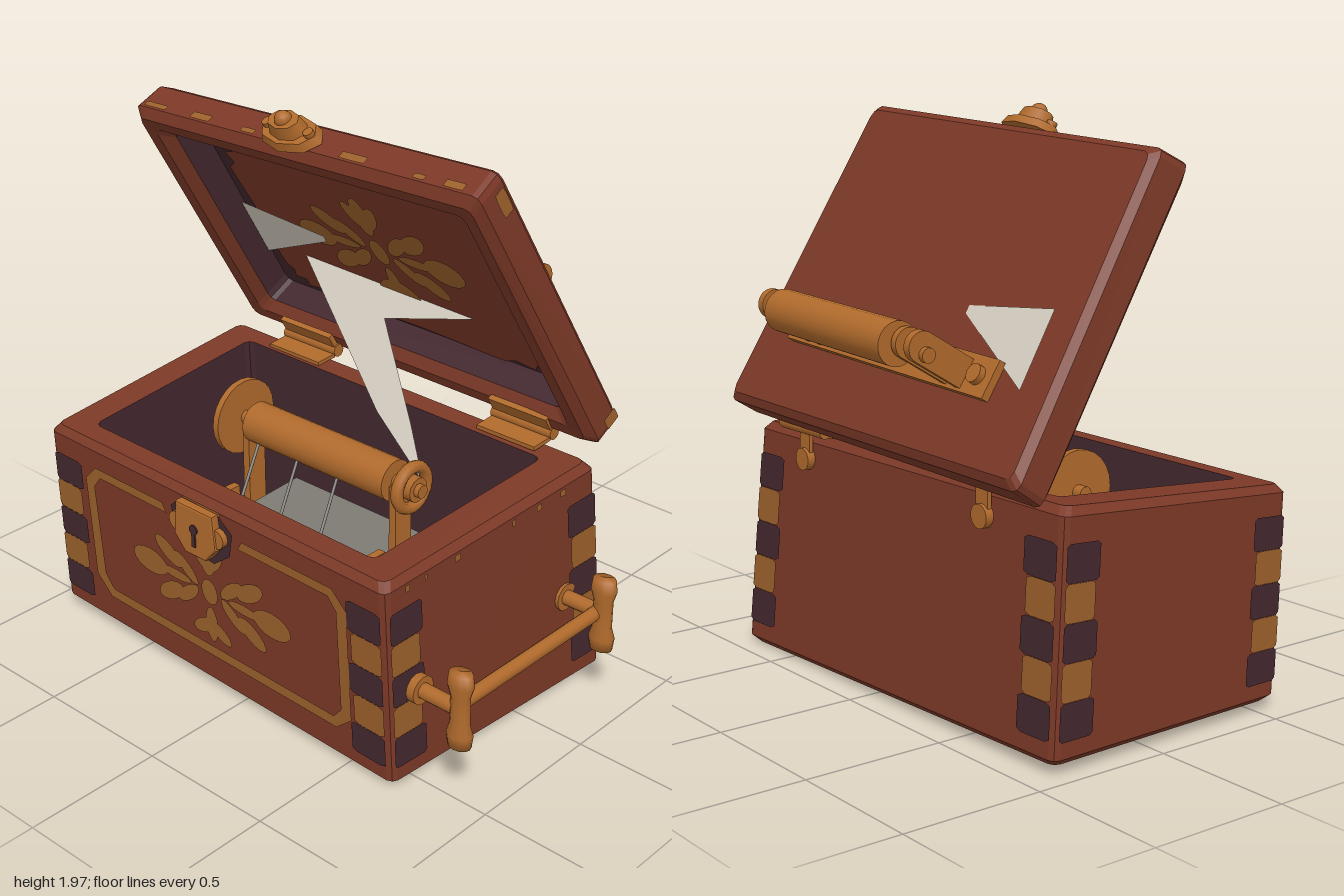
import * as THREE from 'three';

const mat = (name, color, side = THREE.FrontSide) => {
  const m = new THREE.MeshStandardMaterial({ color, side });
  m.name = name;
  return m;
};
const V = (x, y, z) => new THREE.Vector3(x, y, z);

export function createModel() {
  const root = new THREE.Group();
  root.name = 'musicChest';
  const red = mat('redBrownWood', 0x7c3927), brass = mat('brass', 0xb06a2c), tan = mat('tanPaint', 0x9c612b);
  const dark = mat('darkWood', 0x43282f), steel = mat('steel', 0x7d7a74), pale = mat('paleSheet', 0xd6cfc2, THREE.DoubleSide);

  const add = (name, geo, material, parent = root, pos, rot) => {
    const m = new THREE.Mesh(geo, material);
    m.name = name;
    if (pos) m.position.set(...pos);
    if (rot) m.rotation.set(...rot);
    parent.add(m);
    return m;
  };
  const box = (w, h, d) => new THREE.BoxGeometry(w, h, d);
  const cyl = (r, h, n = 16, r2 = r) => new THREE.CylinderGeometry(r, r2, h, n);
  const alongX = [0, 0, Math.PI / 2], alongZ = [Math.PI / 2, 0, 0];

  // Eight skewed corners -> mapping from the unit cube (u right, v to the opening, w across)
  const hexa = (c) => (u, v, w) => {
    const p = V(0, 0, 0);
    c.forEach((q, i) => p.addScaledVector(V(...q),
      (i & 1 ? u : 1 - u) * (i & 2 ? v : 1 - v) * (i & 4 ? w : 1 - w)));
    return p;
  };
  const chest = hexa([
    [-0.955, 0.04, -0.41], [0.765, 0.01, -0.43], [-0.95, 0.845, -0.37], [0.735, 0.835, -0.37],
    [-0.925, 0.04, 0.57], [0.70, 0.01, 0.60], [-0.925, 0.77, 0.60], [0.69, 0.77, 0.635]]);
  const lid = hexa([
    [-0.915, 1.89, 0.01], [0.65, 1.96, 0.075], [-0.925, 1.82, 0.155], [0.66, 1.885, 0.22],
    [-0.95, 0.93, -0.57], [0.73, 0.94, -0.52], [-0.95, 0.84, -0.44], [0.725, 0.86, -0.39]]);

  // Skin through rounded-rectangle rings [v, insetU, insetW]
  const shell = (map, rings, capStart, capEnd) => {
    const pos = [], idx = [], n = 12, ru = 0.016, rw = 0.026;
    rings.forEach(([v, iu, iw]) => {
      for (let j = 0; j < n; j++) {
        const q = Math.floor(j / 3), a = q * Math.PI / 2 + (j % 3) * Math.PI / 4;
        const su = q === 0 || q === 3 ? 1 : -1, sw = q < 2 ? -1 : 1;
        const u = 0.5 + su * (0.5 - iu - ru) + Math.cos(a) * ru;
        const w = 0.5 + sw * (0.5 - iw - rw) - Math.sin(a) * rw;
        pos.push(...map(u, v, w).toArray());
      }
    });
    for (let i = 0; i < rings.length - 1; i++) for (let j = 0; j < n; j++) {
      const a = i * n + j, b = i * n + (j + 1) % n;
      idx.push(a, b, b + n, a, b + n, a + n);
    }
    const e = (rings.length - 1) * n;
    for (let j = 1; j < n - 1; j++) {
      if (capStart) idx.push(0, j + 1, j);
      if (capEnd) idx.push(e, e + j, e + j + 1);
    }
    const g = new THREE.BufferGeometry();
    g.setAttribute('position', new THREE.Float32BufferAttribute(pos, 3));
    g.setIndex(idx);
    const flat = g.toNonIndexed();
    flat.computeVertexNormals();
    return flat;
  };
  add('chestBody', shell(chest, [[0, 0.015, 0.025], [0.03, 0, 0], [0.965, 0, 0], [1, 0.013, 0.022], [1, 0.085, 0.1]], true, false), red);
  add('chestInterior', shell(chest, [[1, 0.085, 0.1], [0.1, 0.09, 0.11]], false, true), dark);
  add('lidBody', shell(lid, [[0, 0.014, 0.022], [0.15, 0, 0], [0.82, 0, 0], [1, 0.018, 0.03], [0.98, 0.05, 0.07], [0.75, 0.075, 0.1]], true, false), red);
  add('lidInterior', shell(lid, [[0.75, 0.075, 0.1], [0.12, 0.085, 0.105]], false, true), dark);

  // Painted patches mapped onto the skewed faces
  const patch = (name, shape, material, map) => {
    const g = new THREE.ShapeGeometry(shape, 8), p = g.attributes.position;
    for (let i = 0; i < p.count; i++) p.setXYZ(i, ...map(p.getX(i), p.getY(i)).toArray());
    g.computeVertexNormals();
    return add(name, g, material);
  };
  const poly = (pts) => new THREE.Shape(pts.map(([x, y]) => new THREE.Vector2(x, y)));
  const rect = (x0, y0, x1, y1, c = 0) => poly([[x0 + c, y0], [x1 - c, y0], [x1, y0 + c], [x1, y1 - c],
    [x1 - c, y1], [x0 + c, y1], [x0, y1 - c], [x0, y0 + c]]);
  const faces = (h, e) => ({
    front: (s, t) => h(s, t, 1 + e), back: (s, t) => h(1 - s, t, -e),
    right: (s, t) => h(1 + e * 0.6, t, 1 - s), left: (s, t) => h(-e * 0.6, t, s) });
  const side = faces(chest, 0.006), lidSide = faces(lid, 0.006);
  const onFront = (e) => (x, y) => chest((x + 0.925) / 1.62, (y - 0.025) / 0.745, 1 + e);
  const onLidInside = (v) => (x, y) => lid((x + 0.94) / 1.62, v, 1 - (y - 0.925) / 0.99);

  // Alternating corner joints on all four walls
  for (const f of ['front', 'back', 'right', 'left']) {
    const w = f === 'front' || f === 'back' ? 0.09 : 0.14;
    for (let i = 0; i < 5; i++) {
      const t = 0.1 + i * 0.153, ww = i % 2 ? w * 0.9 : w;
      for (const s of [0.012, 0.988 - ww])
        patch('cornerJoint', rect(s, t, s + ww, t + 0.152, 0.012), i % 2 ? tan : dark, side[f]);
    }
  }

  // Painted border with a gap behind the lock
  const outer = [[-0.33, 0.68], [-0.68, 0.68], [-0.74, 0.62], [-0.73, 0.22], [-0.66, 0.15], [0.46, 0.15],
    [0.53, 0.21], [0.53, 0.62], [0.47, 0.68], [0.06, 0.68]];
  const inner = [[-0.31, 0.645], [-0.66, 0.645], [-0.695, 0.60], [-0.68, 0.24], [-0.64, 0.19], [0.45, 0.19],
    [0.485, 0.23], [0.485, 0.60], [0.45, 0.645], [0.04, 0.645]];
  patch('frontBorder', poly([...outer, ...inner.reverse()]), tan, onFront(0.006));
  patch('lockStain', poly([[-0.27, 0.62], [-0.2, 0.55], [-0.08, 0.54], [0, 0.6], [0.02, 0.69], [-0.05, 0.745], [-0.22, 0.745], [-0.28, 0.69]]), dark, onFront(0.008));

  // Leaf ornament: ellipses [x, y, rx, ry, angle], mirrored
  const leaves = [[0.3, 0, 0.09, 0.05, 0], [0.17, 0, 0.08, 0.02, 0], [0.2, 0.08, 0.075, 0.034, 0.55], [0.2, -0.08, 0.075, 0.034, -0.55],
    [0.11, 0.05, 0.07, 0.026, 0.7], [0.11, -0.05, 0.07, 0.026, -0.7], [0.04, 0.14, 0.06, 0.028, 1.0], [0.04, -0.15, 0.06, 0.028, -0.5],
    [0.0, 0.14, 0.04, 0.075, 0], [0, -0.13, 0.03, 0.07, 0], [0, 0, 0.04, 0.05, 0]];
  const ornament = (cx, cy, k, map) => {
    for (const m of [1, -1]) for (const [x, y, rx, ry, a] of leaves) {
      if (x === 0 && m < 0) continue;
      patch('leafOrnament', new THREE.Shape().absellipse(cx + m * x, cy + y * k, rx, ry * k, 0, Math.PI * 2, false, m * a), tan, map);
    }
  };
  ornament(-0.12, 0.41, 1, onFront(0.005));

  // Worn red panel inside the lid
  const worn = [];
  for (let i = 0; i < 40; i++) {
    const a = i / 40 * Math.PI * 2, c = Math.cos(a), s = Math.sin(a), j = 1 + 0.03 * Math.sin(i * 2.7);
    worn.push([-0.12 + 0.63 * j * Math.sign(c) * Math.abs(c) ** 0.3, 1.385 + 0.35 * j * Math.sign(s) * Math.abs(s) ** 0.3]);
  }
  patch('lidPanel', poly(worn), red, onLidInside(0.15));
  ornament(-0.13, 1.39, 1.1, onLidInside(0.18));

  // Worn edges
  [[0.04, 0.05], [0.14, 0.03], [0.3, 0.07], [0.62, 0.04], [0.76, 0.06], [0.9, 0.07]].forEach(([s, w], i) => {
    patch('lidEdgeWear', rect(s, 0.62 + 0.05 * (i % 2), s + w, 0.8, 0.01), tan, lidSide.back);
    patch('rimWear', rect(0.05 + s * 0.85, 0.93, 0.05 + s * 0.85 + w * 0.4, 0.96, 0.004), tan, side.right);
  });
  patch('lidSideWear', rect(0.88, 0.2, 0.96, 0.5, 0.02), tan, lidSide.right);
  patch('lidSideWear', rect(0.02, 0.1, 0.06, 0.5, 0.01), tan, lidSide.right);

  // Pale angular sheets
  const tri = poly([[-0.8, 1.43], [-0.8, 1.19], [-0.4, 1.36], [-0.4, 1.385]]);
  patch('lidSheetInside', tri, pale, onLidInside(0.21));
  patch('lidSheetOutside', tri, pale, (x, y) => lid((x + 0.94) / 1.62, -0.03, 1 - (y - 0.935) / 1.0));
  patch('boltSheet', poly([[-0.59, 1.22], [-0.055, 0.83], [0.23, 0.68], [0.105, 0.83], [-0.15, 1.11], [0.22, 1.2]]), pale,
    (x, y) => V(x, y, -0.155 - (y - 0.82) / 1.92));

  // Lock on the front
  const extr = (s, d) => new THREE.ExtrudeGeometry(s, { depth: d, bevelEnabled: true, bevelSize: 0.008, bevelThickness: 0.008, bevelSegments: 2, curveSegments: 12 });
  const lock = new THREE.Group();
  lock.name = 'lock';
  lock.position.set(-0.135, 0.65, 0.605);
  root.add(lock);
  add('lockPlate', extr(poly([[-0.08, 0.085], [-0.09, -0.03], [-0.045, -0.08], [0.045, -0.08], [0.09, -0.03], [0.08, 0.085]]), 0.04), brass, lock);
  for (const m of [1, -1]) add('lockEar', cyl(0.035, 0.04, 12), brass, lock, [m * 0.095, 0.01, 0.02], alongZ);
  add('keyholeRound', cyl(0.018, 0.006, 14), dark, lock, [0, 0.015, 0.05], alongZ);
  add('keyholeSlot', box(0.016, 0.06, 0.006), dark, lock, [0, -0.02, 0.05]);

  // Local frame tilted with the lid
  const frame = (name, origin, yAxis) => {
    const g = new THREE.Group(), x = V(1, 0.03, 0.035).normalize();
    const y = V(...yAxis).addScaledVector(x, -x.dot(V(...yAxis))).normalize();
    g.name = name;
    g.applyMatrix4(new THREE.Matrix4().makeBasis(x, y, x.clone().cross(y)).setPosition(...origin));
    root.add(g);
    return g;
  };

  // Clasp on the lid edge
  const clasp = frame('lidClasp', [-0.16, 1.895, 0.125], [0, 0.857, 0.515]);
  add('claspPlate', cyl(0.12, 0.03, 8, 0.135), brass, clasp, [0, 0.015, 0.01]).scale.set(1, 1, 0.55);
  add('claspBlock', cyl(0.065, 0.05, 8, 0.08), brass, clasp, [0, 0.05, 0.01]).scale.set(1, 1, 0.65);
  add('claspKnob', new THREE.SphereGeometry(0.03, 12, 8), brass, clasp, [0, 0.075, 0.01]);
  for (const m of [1, -1]) add('claspStud', cyl(0.018, 0.02, 10), brass, clasp, [m * 0.095, 0.035, 0.01]);

  // Carrying handle on the back of the lid
  const handle = frame('lidHandle', [-0.11, 1.2, -0.39], [0, 0.515, -0.857]);
  add('handlePlate', box(1.14, 0.03, 0.13), brass, handle, [0, 0.015, 0]);
  for (const m of [1, -1]) {
    add('handleScrew', cyl(0.032, 0.025, 12), brass, handle, [m * 0.505, 0.04, 0]);
    for (const [x, w] of [[0.365, 0.025], [0.435, 0.03]]) {
      const arm = new THREE.Shape().moveTo(-0.05, 0).lineTo(0.05, 0).lineTo(0.05, 0.21).absarc(0, 0.21, 0.05, 0, Math.PI, false);
      add('handleArm', new THREE.ExtrudeGeometry(arm, { depth: w, bevelEnabled: false }), brass, handle,
        [m * x - w / 2, 0.01, -0.005], [0, Math.PI / 2, 0]);
    }
    add('handlePin', cyl(0.025, 0.14, 10), brass, handle, [m * 0.4, 0.2, -0.02], alongX);
  }
  add('handleGrip', cyl(0.072, 0.68, 20), brass, handle, [-0.005, 0.235, -0.02], alongX);

  // Side handle with two upright end bars
  const sideHandle = new THREE.Group();
  sideHandle.name = 'sideHandle';
  root.add(sideHandle);
  for (const z of [0.515, -0.23]) {
    add('handleStub', cyl(0.027, 0.18, 12), brass, sideHandle, [0.79, 0.37, z], alongX);
    add('handleFoot', cyl(0.05, 0.03, 12), brass, sideHandle, [0.735, 0.37, z], alongX);
    add('handleEndBar', new THREE.LatheGeometry([[0, -0.14], [0.042, -0.135], [0.048, -0.09], [0.036, -0.05], [0.036, 0.05],
      [0.048, 0.09], [0.042, 0.135], [0, 0.14]].map(([a, b]) => new THREE.Vector2(a, b)), 12), brass, sideHandle, [0.9, 0.37, z]).scale.z = 0.75;
  }
  add('handleCrossBar', cyl(0.025, 0.74, 14), brass, sideHandle, [0.88, 0.37, 0.143], alongZ);

  // Hinges
  for (const x of [-0.58, 0.42]) {
    add('hingeBarrel', cyl(0.025, 0.26, 12), brass, root, [x, 0.865, -0.39], alongX);
    add('hingeLidLeaf', box(0.25, 0.09, 0.02), brass, root, [x, 0.895, -0.375], [0.54, 0, 0]);
    add('hingeChestLeaf', box(0.25, 0.015, 0.09), brass, root, [x, 0.845, -0.33], [0.06, 0, 0]);
    add('hingeBackStrap', box(0.06, 0.12, 0.015), brass, root, [x, 0.80, -0.385]);
    add('hingeKnob', cyl(0.04, 0.03, 14), brass, root, [x, 0.75, -0.39], alongZ);
  }

  // Winding mechanism: drum, disc, crank, comb plate and wires
  const works = new THREE.Group();
  works.name = 'mechanism';
  root.add(works);
  add('drum', cyl(0.075, 0.66, 20), brass, works, [-0.1, 0.745, 0.06], alongX);
  add('drumAxle', cyl(0.025, 0.9, 10), brass, works, [-0.1, 0.745, 0.06], alongX);
  add('drumDisc', cyl(0.14, 0.025, 24), brass, works, [-0.5, 0.745, 0.06], alongX);
  add('crankRing', new THREE.TorusGeometry(0.075, 0.022, 8, 20), brass, works, [0.3, 0.745, 0.06], [0, Math.PI / 2, 0]);
  add('crankHub', cyl(0.045, 0.06, 12), brass, works, [0.3, 0.745, 0.06], alongX);
  for (const x of [-0.45, 0.25]) {
    add('drumPost', box(0.03, 0.62, 0.08), brass, works, [x, 0.43, 0.06]);
    add('frontStay', box(0.03, 0.04, 0.3), brass, works, [x, 0.5, 0.3]);
  }
  add('combPlate', box(0.6, 0.03, 0.5), steel, works, [-0.08, 0.45, 0.165], [0.05, 0, 0]);
  add('steelBracket', box(0.11, 0.03, 0.22), steel, works, [0.37, 0.5, 0.25]);
  for (const x of [-0.26, -0.07, 0.12]) {
    add('combScrew', cyl(0.026, 0.03, 12), steel, works, [x, 0.46, 0.37]);
    const wire = new THREE.LineCurve3(V(x, 0.48, 0.37), V(x - 0.12, 0.7, 0.1));
    add('combWire', new THREE.TubeGeometry(wire, 1, 0.006, 6), steel, works);
  }
  return root;
}
